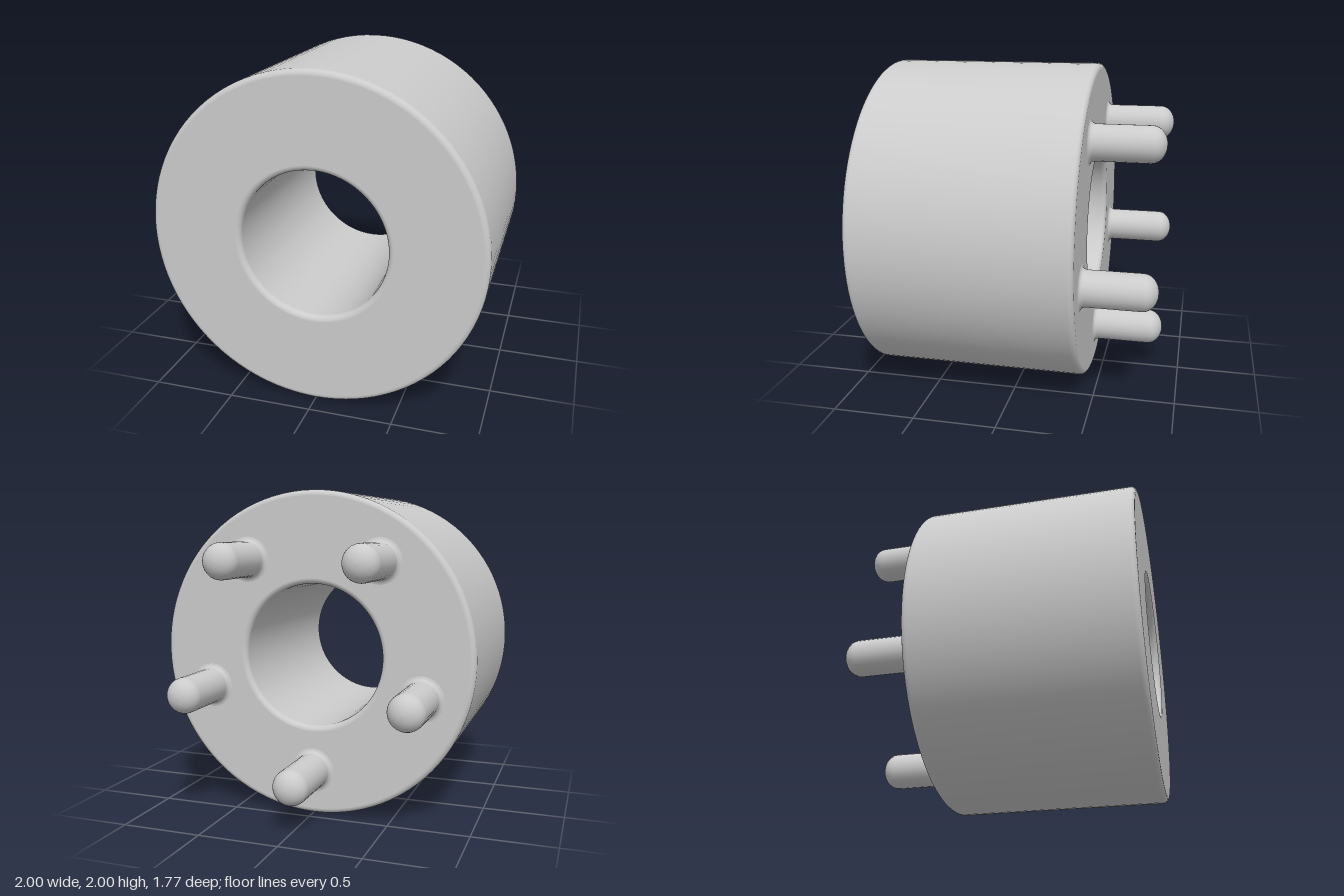
import * as THREE from 'three';

const OUTER = 1, BORE = 0.44, FRONT = 0.89, BACK = -0.44, ROUND = 0.035;
const PIN_COUNT = 5, PIN_CIRCLE = 0.72, PIN_RADIUS = 0.11, PIN_LENGTH = 0.445;

// points on an elliptical quarter arc
function arc(cx, cy, rx, ry, start, end, steps = 5) {
  return Array.from({ length: steps + 1 }, (_, i) => {
    const a = start + (end - start) * i / steps;
    return new THREE.Vector2(Math.max(0, cx + rx * Math.cos(a)), cy + ry * Math.sin(a));
  });
}

export function createModel() {
  const group = new THREE.Group();
  const material = new THREE.MeshStandardMaterial({ color: 0xcccccc });
  const q = Math.PI / 2;

  // thick ring with rounded rims, closed through the bore
  const mid = new THREE.Vector2(OUTER, 0.2);
  const ringProfile = [
    mid,
    ...arc(OUTER - ROUND, FRONT - ROUND, ROUND, ROUND, 0, q),
    ...arc(BORE + ROUND, FRONT - ROUND, ROUND, ROUND, q, 2 * q),
    ...arc(BORE + ROUND, BACK + ROUND, ROUND, ROUND, 2 * q, 3 * q),
    ...arc(OUTER - ROUND, BACK + ROUND, ROUND, ROUND, 3 * q, 4 * q),
    mid.clone(),
  ];
  const ring = new THREE.Mesh(new THREE.LatheGeometry(ringProfile, 96).rotateX(q), material);
  ring.name = 'ringBody';
  ring.position.y = OUTER;
  group.add(ring);

  // pin with a flared foot and a domed tip, pointing backwards
  const flare = 0.03, dome = 0.09;
  const pinProfile = [
    ...arc(PIN_RADIUS + flare, flare, flare, flare, 3 * q, 2 * q, 4),
    ...arc(0, PIN_LENGTH - dome, PIN_RADIUS, dome, 0, q, 8),
  ];
  const pinGeometry = new THREE.LatheGeometry(pinProfile, 24).rotateX(-q);

  // five pins evenly spaced, one at the bottom
  for (let i = 0; i < PIN_COUNT; i++) {
    const a = i * 2 * Math.PI / PIN_COUNT;
    const pin = new THREE.Mesh(pinGeometry, material);
    pin.name = `pin${i + 1}`;
    pin.position.set(PIN_CIRCLE * Math.sin(a), OUTER - PIN_CIRCLE * Math.cos(a), BACK);
    group.add(pin);
  }
  return group;
}
